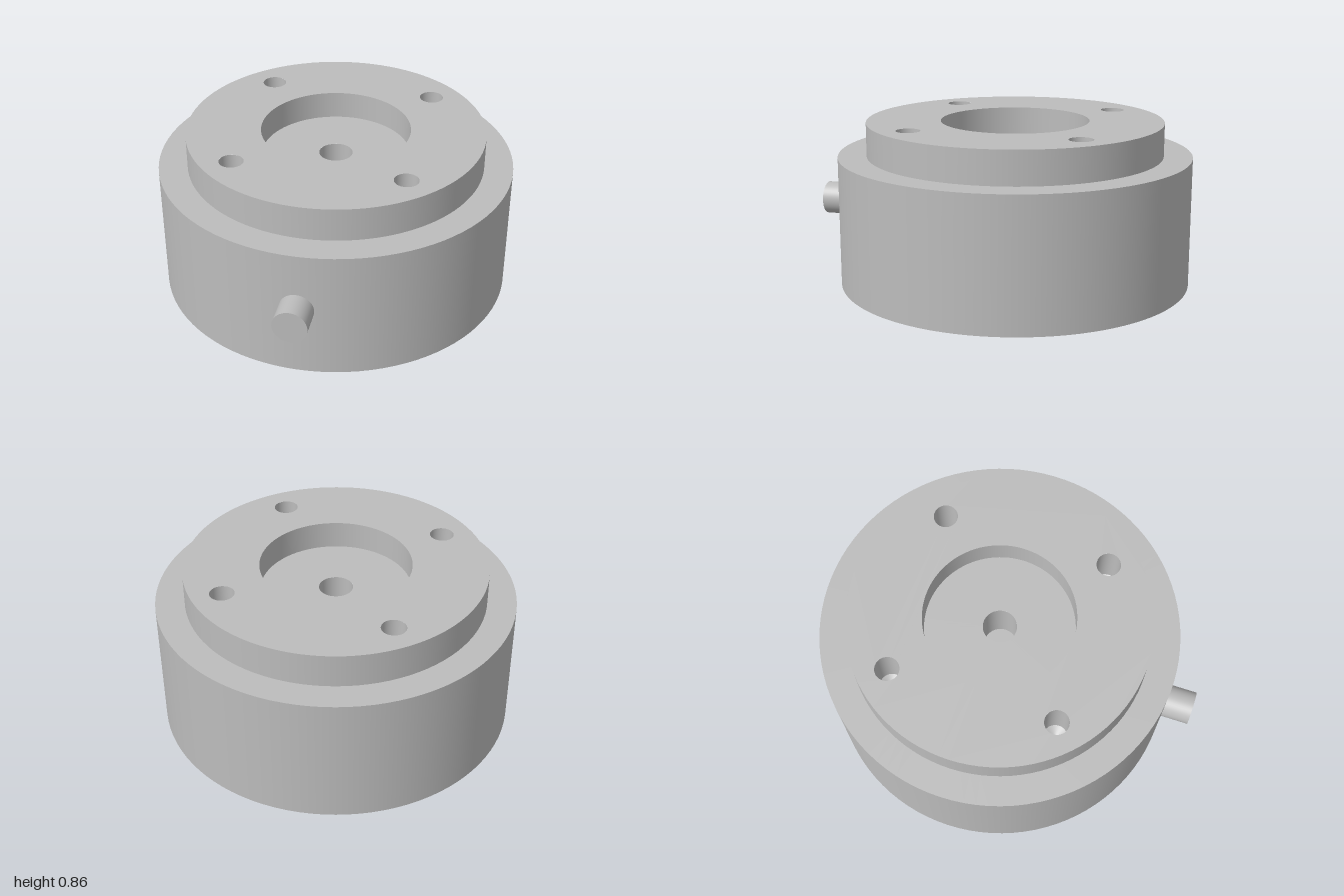
import * as THREE from 'three';

const SEG = 96;

export function createModel() {
  const metal = new THREE.MeshStandardMaterial({ color: 0xbcbcbc });
  metal.name = 'grey metal';

  const model = new THREE.Group();
  model.name = 'flangedHousing';
  const housing = new THREE.Group();
  housing.name = 'housing';
  housing.position.z = -0.07;
  model.add(housing);

  // Revolves each straight run of a profile on its own, so the edges stay sharp
  function turned(name, profile, segments = SEG) {
    const part = new THREE.Group();
    part.name = name;
    for (let i = 0; i < profile.length - 1; i++) {
      const run = [profile[i], profile[i + 1]].map(([r, y]) => new THREE.Vector2(r, y));
      const mesh = new THREE.Mesh(new THREE.LatheGeometry(run, segments), metal);
      mesh.name = `${name}Face${i + 1}`;
      part.add(mesh);
    }
    housing.add(part);
    return part;
  }

  const bodyR = 0.93, bodyTop = 0.685;
  const flangeR = 0.78, top = 0.86;
  const recessR = 0.39, recessFloor = 0.713;
  const boreR = 0.088, boltR = 0.0625, boltOffset = 0.44;

  // Main body and the raised flange wall
  turned('body', [[0, 0], [bodyR, 0], [bodyR, bodyTop], [flangeR, bodyTop]]);
  turned('flangeWall', [[flangeR, bodyTop], [flangeR, top]]);

  // Round recess with a flat-bottomed centre bore
  turned('recess', [[recessR, top], [recessR, recessFloor], [boreR, recessFloor]]);
  turned('centreBore', [[boreR, recessFloor], [boreR, 0.45], [0, 0.45]], 48);

  // Flange face, pierced by the recess and four bolt holes
  const face = new THREE.Shape().absarc(0, 0, flangeR, 0, Math.PI * 2, false);
  const cut = (x, y, r) =>
    face.holes.push(new THREE.Path().absarc(x, y, r, 0, Math.PI * 2, true));
  cut(0, 0, recessR);
  for (const x of [-boltOffset, boltOffset]) {
    for (const z of [-boltOffset, boltOffset]) {
      cut(x, -z, boltR);
      // Drilled hole with a conical tip
      const hole = turned('boltHole', [[boltR, top], [boltR, 0.6], [0, 0.56]], 48);
      hole.position.set(x, 0, z);
    }
  }
  const flangeFace = new THREE.Mesh(
    new THREE.ShapeGeometry(face, 48).rotateX(-Math.PI / 2).translate(0, top, 0), metal);
  flangeFace.name = 'flangeFace';
  housing.add(flangeFace);

  // Short pin on the front of the body
  const pin = new THREE.Mesh(
    new THREE.CylinderGeometry(0.087, 0.087, 0.2, 48).rotateX(Math.PI / 2), metal);
  pin.name = 'sidePin';
  pin.position.set(0, 0.375, 0.9);
  model.add(pin);

  return model;
}
